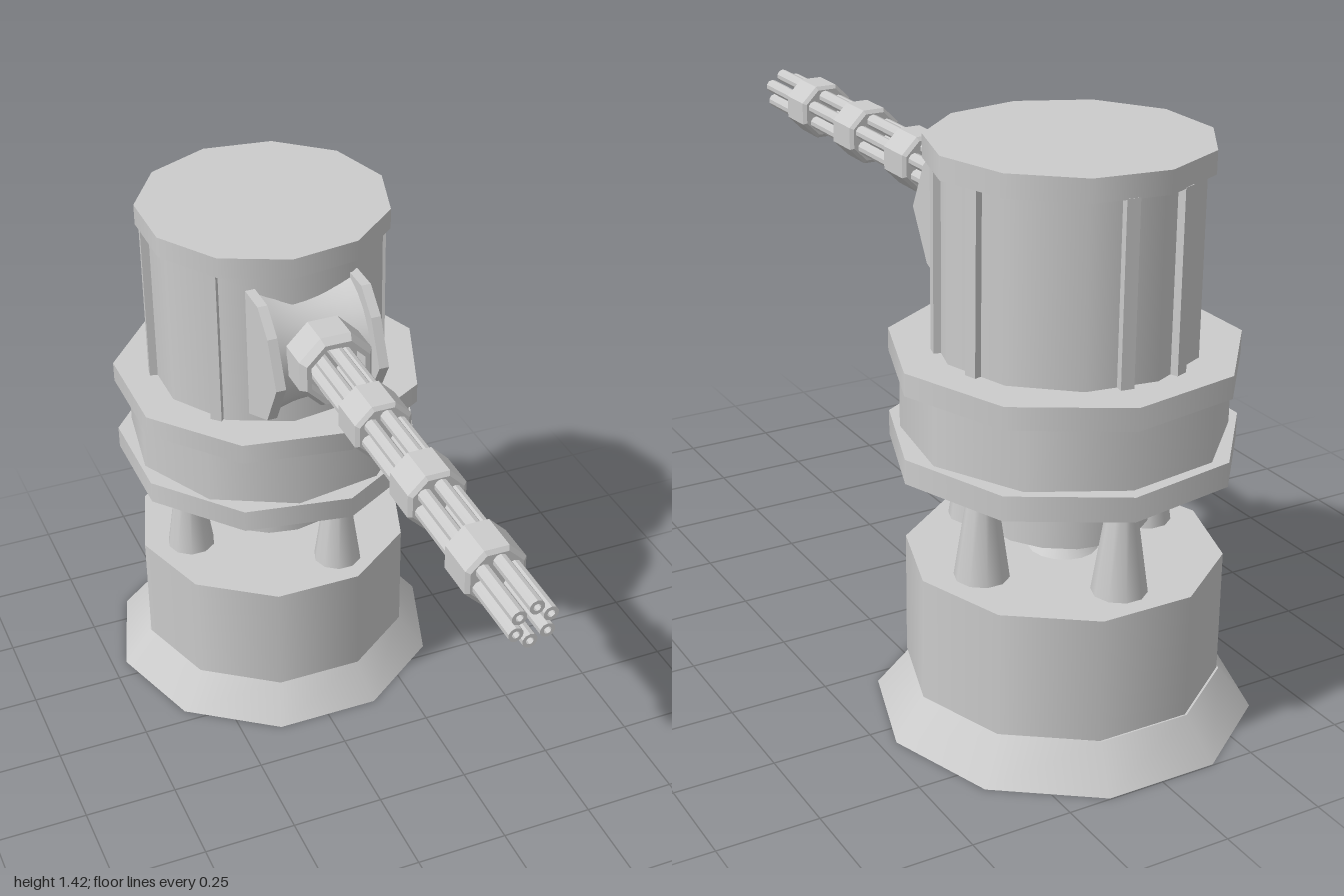
import * as THREE from 'three';

const CZ = -0.55; // z of the turret's vertical axis
const rad = THREE.MathUtils.degToRad;

export function createModel() {
  const root = new THREE.Group();
  const smooth = new THREE.MeshStandardMaterial({ color: 0xcccccc });
  const flat = new THREE.MeshStandardMaterial({ color: 0xcccccc, flatShading: true });
  const open = new THREE.MeshStandardMaterial({ color: 0xcccccc, flatShading: true, side: THREE.DoubleSide });

  const add = (name, geo, mat, x = 0, y = 0, z = 0, parent = root) => {
    const mesh = new THREE.Mesh(geo, mat);
    mesh.name = name;
    mesh.position.set(x, y, z);
    parent.add(mesh);
    return mesh;
  };
  // Upright drum between two heights, with a corner pointing to +x unless turned
  const drum = (name, y0, y1, r0, r1, sides, x = 0, z = CZ, turn = 0) =>
    add(name, new THREE.CylinderGeometry(r1, r0, y1 - y0, sides, 1, false, Math.PI / 2 + turn),
      smooth, x, (y0 + y1) / 2, z);

  // Base
  drum('baseSkirt', 0, 0.1, 0.46, 0.38, 10, 0, -0.56);
  drum('baseDrum', 0.1, 0.41, 0.381, 0.381, 10, 0.003, -0.555);
  drum('pivotCone', 0.41, 0.5, 0.085, 0.001, 16);

  // Tapered supports between base and turning ring
  for (const [x, z] of [[0.105, -0.305], [0.25, -0.595], [0.01, -0.81], [-0.25, -0.525]])
    drum('supportSpike', 0.41, 0.68, 0.066, 0.026, 10, x, z);

  // Neck, turning ring and its two collars
  drum('neck', 0.5, 0.67, 0.205, 0.205, 16, 0.003);
  drum('lowerCollar', 0.665, 0.725, 0.42, 0.42, 9, 0.005);
  drum('ringDrum', 0.725, 0.88, 0.386, 0.386, 10, 0.003, CZ, rad(9));
  drum('upperCollar', 0.88, 0.935, 0.42, 0.42, 9, 0.005);

  // Tower with cap and upright ribs
  drum('tower', 0.935, 1.365, 0.312, 0.312, 11, 0.003);
  drum('towerCap', 1.365, 1.42, 0.332, 0.332, 11, 0.003);
  for (const deg of [16, -16, -82, -110, 191, 135]) {
    const a = rad(deg), r = 0.3;
    const rib = add('towerRib', new THREE.BoxGeometry(0.04, 0.435, 0.032), flat,
      r * Math.cos(a), 1.15, CZ + r * Math.sin(a));
    rib.rotation.y = -a;
  }

  // Gun mount: waisted roller between two cheek plates
  const waist = [];
  for (let i = 0; i <= 8; i++) {
    const t = i / 4 - 1;
    waist.push(new THREE.Vector2(0.15 + 0.024 * t * t, 0.13 * t));
  }
  const roller = add('mountRoller', new THREE.LatheGeometry(waist, 24), smooth, 0, 1.143, -0.3);
  roller.rotation.z = Math.PI / 2;

  const cheek = new THREE.Shape([[-0.28, 1.325], [-0.193, 1.325], [-0.129, 1.267],
    [-0.075, 1.15], [-0.145, 1.025], [-0.28, 0.963]].map(([z, y]) => new THREE.Vector2(-z, y)));
  for (const x of [-0.15, 0.125]) {
    const geo = new THREE.ExtrudeGeometry(cheek, { depth: 0.026, bevelEnabled: false });
    geo.rotateY(Math.PI / 2); // shape x becomes -z, depth becomes +x
    add('mountCheek', geo, flat, x);
  }

  // Gun, built along +z
  const gun = new THREE.Group();
  gun.name = 'gun';
  gun.position.set(0.003, 1.186, 0);
  root.add(gun);

  // Eight-sided turned part, profile given as [radius, z]
  const turned = (name, profile) => {
    const geo = new THREE.LatheGeometry(profile.map(([r, z]) => new THREE.Vector2(r, z)), 8, Math.PI / 8);
    geo.rotateX(Math.PI / 2);
    return add(name, geo, open, 0, 0, 0, gun);
  };
  turned('gunSocket', [[0, -0.17], [0.085, -0.17], [0.104, -0.15], [0.104, -0.065],
    [0.09, -0.045], [0.077, -0.045], [0.077, -0.1], [0, -0.1]]);
  for (const z of [0.12, 0.42, 0.715])
    turned('barrelClamp', [[0, z], [0.068, z], [0.078, z + 0.008],
      [0.078, z + 0.107], [0.068, z + 0.115], [0, z + 0.115]]);

  // Six hollow barrels in a ring
  const bore = [[0.018, -0.12], [0.018, 1], [0.009, 1], [0.009, 0.93], [0, 0.93]]
    .map(([r, z]) => new THREE.Vector2(r, z));
  for (let i = 0; i < 6; i++) {
    const a = rad(22 + 60 * i);
    const geo = new THREE.LatheGeometry(bore, 10);
    geo.rotateX(Math.PI / 2);
    add('barrel', geo, open, 0.043 * Math.cos(a), 0.043 * Math.sin(a), 0, gun);
  }

  return root;
}
